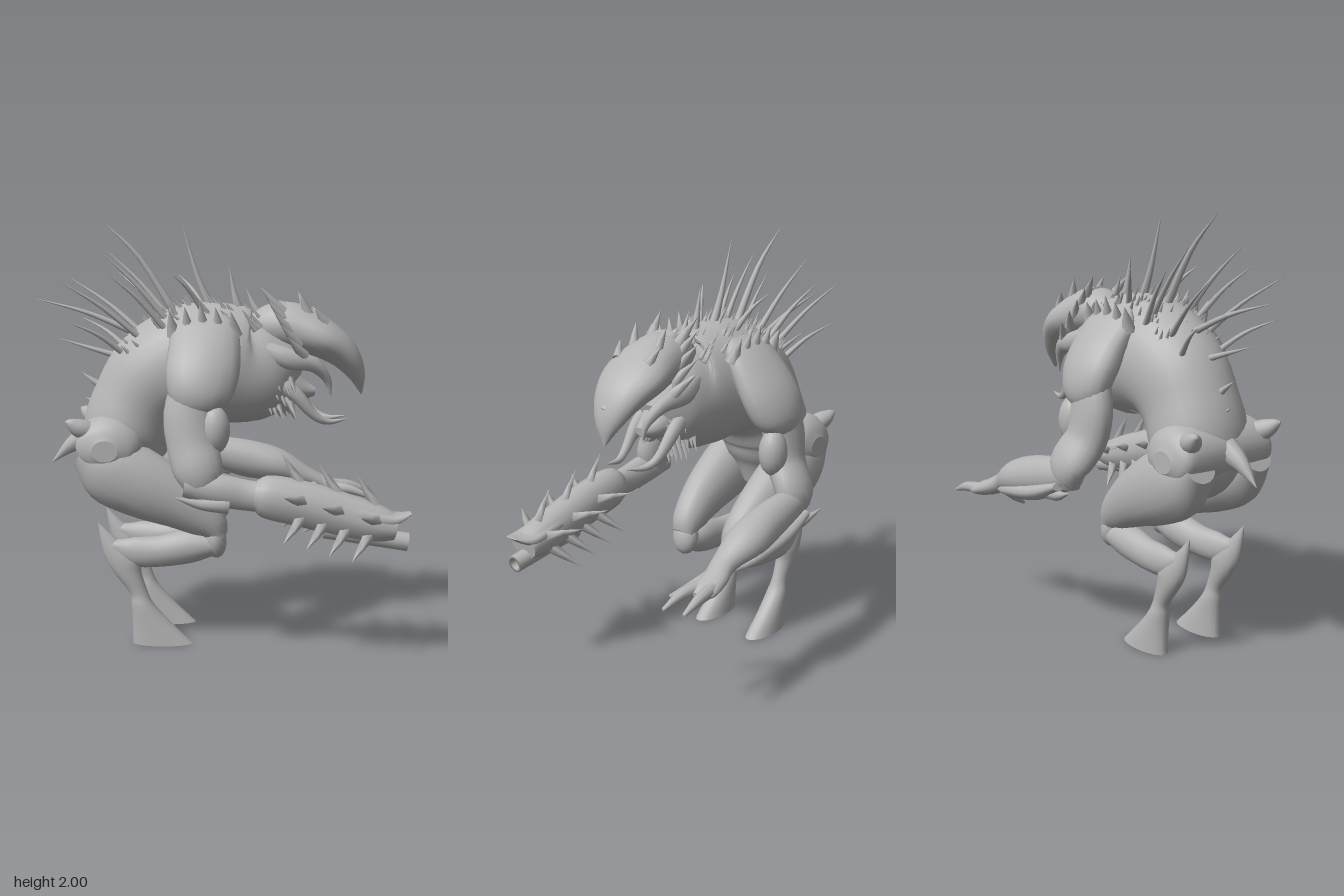
import * as THREE from 'three';

const Z0 = -0.03; // the body's plane of symmetry
const hide = new THREE.MeshStandardMaterial({ color: 0xb4b4b4 });
hide.name = 'grey hide';

// Smooth skin over elliptical sections [x, y, z, inPlaneRadius, sideRadius]; axis fixes the section plane
function loft(sections, { sides = 18, steps = 4, axis = null } = {}) {
  const path = new THREE.CatmullRomCurve3(sections.map(s => new THREE.Vector3(s[0], s[1], s[2])), false, 'catmullrom', 0.5);
  const size = new THREE.CatmullRomCurve3(sections.map(s => new THREE.Vector3(s[3], s[4], 0)), false, 'catmullrom', 0.5);
  const n = (sections.length - 1) * steps;
  const pos = [], idx = [], rings = [];
  const addRing = (c, N, B, r) => {
    const start = pos.length / 3;
    for (let j = 0; j < sides; j++) {
      const a = j / sides * Math.PI * 2;
      const p = c.clone().addScaledVector(N, Math.max(r.x, 0.001) * Math.cos(a)).addScaledVector(B, Math.max(r.y, 0.001) * Math.sin(a));
      pos.push(p.x, p.y, p.z);
    }
    return start;
  };
  for (let i = 0; i <= n; i++) {
    const t = i / n, c = path.getPoint(t), r = size.getPoint(t);
    const T = axis ? axis.clone() : path.getTangent(t);
    const ref = Math.abs(T.z) > 0.9 ? new THREE.Vector3(1, 0, 0) : new THREE.Vector3(0, 0, 1);
    const B = ref.addScaledVector(T, -ref.dot(T)).normalize();
    const N = new THREE.Vector3().crossVectors(B, T);
    rings.push(addRing(c, N, B, r));
    if (i === 0 || i === n) {
      const ring = addRing(c, N, B, r), mid = pos.length / 3;
      pos.push(c.x, c.y, c.z);
      for (let j = 0; j < sides; j++) {
        const a = ring + j, b = ring + (j + 1) % sides;
        if (i === 0) idx.push(mid, b, a); else idx.push(mid, a, b);
      }
    }
  }
  for (let i = 0; i < n; i++) for (let j = 0; j < sides; j++) {
    const k = (j + 1) % sides, a = rings[i] + j, b = rings[i] + k, c = rings[i + 1] + j, d = rings[i + 1] + k;
    idx.push(a, b, c, b, d, c);
  }
  const g = new THREE.BufferGeometry();
  g.setAttribute('position', new THREE.Float32BufferAttribute(pos, 3));
  g.setIndex(idx);
  g.computeVertexNormals();
  return g;
}

export function createModel() {
  const model = new THREE.Group();
  model.name = 'spinedBeast';
  const add = (name, geo) => {
    const m = new THREE.Mesh(geo, hide);
    m.name = name;
    model.add(m);
    return m;
  };
  // Sections measured from the symmetry plane on side s
  const side = (s, list) => list.map(([x, y, z, a, b]) => [x, y, Z0 + s * z, a, b]);
  // Tapered spike from base to tip, sagging by bend at its middle
  const spike = (name, b, t, r, bend = 0, sides = 6) => {
    const mid = b.map((v, i) => v * 0.5 + t[i] * 0.5);
    mid[1] -= bend;
    add(name, loft([[...b, r, r], [...mid, r * 0.6, r * 0.6], [...t, 0.001, 0.001]], { sides, steps: bend ? 4 : 1 }));
  };
  const blob = (name, [x, y, z], [rx, ry, rz], tilt = 0) => {
    const m = add(name, new THREE.SphereGeometry(1, 18, 12));
    m.scale.set(rx, ry, rz);
    m.position.set(x, y, z);
    m.rotation.z = tilt;
  };
  let seed = 7;
  const rnd = () => (seed = (seed * 16807) % 2147483647) / 2147483647;

  // Hunched trunk from pelvis to neck
  add('torso', loft(side(1, [
    [-0.38, 0.73, 0, 0.06, 0.06], [-0.43, 0.86, 0, 0.18, 0.17], [-0.44, 1.0, 0, 0.215, 0.23],
    [-0.38, 1.15, 0, 0.225, 0.225], [-0.28, 1.27, 0, 0.255, 0.24], [-0.12, 1.34, 0, 0.28, 0.25],
    [0.05, 1.33, 0, 0.285, 0.22], [0.17, 1.32, 0, 0.26, 0.19], [0.27, 1.36, 0, 0.2, 0.16], [0.36, 1.4, 0, 0.1, 0.1],
  ]), { sides: 28 }));
  // Broad pelvis from hip to hip
  add('pelvis', loft(side(1, [[-0.52, 0.95, -0.285, 0.05, 0.06], [-0.515, 0.96, -0.25, 0.11, 0.135], [-0.505, 0.97, -0.16, 0.14, 0.16],
    [-0.505, 0.97, 0.16, 0.14, 0.16], [-0.515, 0.96, 0.25, 0.11, 0.135], [-0.52, 0.95, 0.285, 0.05, 0.06]]),
  { sides: 24, axis: new THREE.Vector3(0, 0, 1) }));
  spike('tail', [-0.62, 0.99, Z0], [-0.81, 0.85, Z0], 0.06, -0.015, 10);

  // Skull with hooked beak
  add('beak', loft(side(1, [
    [0.17, 1.49, 0, 0.08, 0.08], [0.26, 1.51, 0, 0.11, 0.12], [0.36, 1.505, 0, 0.115, 0.14], [0.49, 1.455, 0, 0.095, 0.165],
    [0.59, 1.385, 0, 0.075, 0.13], [0.655, 1.29, 0, 0.045, 0.075], [0.682, 1.19, 0, 0.004, 0.006],
  ]), { sides: 20 }));
  add('browRidge', loft(side(1, [[0.28, 1.61, 0, 0.025, 0.07], [0.45, 1.56, 0, 0.025, 0.08],
    [0.58, 1.47, 0, 0.015, 0.04], [0.68, 1.35, 0, 0.012, 0.015]]), { sides: 10 }));
  add('lowerJaw', loft(side(1, [[0.2, 1.28, 0, 0.13, 0.12], [0.3, 1.24, 0, 0.11, 0.1],
    [0.39, 1.21, 0, 0.06, 0.07], [0.46, 1.2, 0, 0.02, 0.03]])));

  for (const s of [1, -1]) {
    // Cheeks, mandibles and tusks
    add('cheek', loft(side(s, [[0.2, 1.42, 0.12, 0.04, 0.03], [0.32, 1.37, 0.14, 0.05, 0.035],
      [0.44, 1.34, 0.12, 0.035, 0.03], [0.51, 1.27, 0.09, 0.02, 0.02], [0.53, 1.19, 0.08, 0.003, 0.003]]), { sides: 10 }));
    add('tusk', loft(side(s, [[0.25, 1.28, 0.1, 0.04, 0.03], [0.36, 1.2, 0.11, 0.035, 0.03],
      [0.45, 1.1, 0.1, 0.022, 0.02], [0.52, 1.065, 0.08, 0.015, 0.015], [0.61, 1.075, 0.06, 0.002, 0.002]]), { sides: 10 }));
    for (let i = 0; i < 5; i++) {
      spike('frillSpike', [0.3 + i * 0.025, 1.58 - i * 0.05, Z0 + s * (0.08 + i * 0.014)],
        [0.2 + i * 0.03, 1.69 - i * 0.055, Z0 + s * (0.11 + i * 0.025)], 0.028);
    }
    spike('browHorn', [0.42, 1.57, Z0 + s * 0.07], [0.38, 1.67, Z0 + s * 0.09], 0.025);
    spike('browHorn', [0.5, 1.53, Z0 + s * 0.09], [0.45, 1.6, Z0 + s * 0.12], 0.025);

    // Legs: thigh, knee, calf and hoofed foot
    add('thigh', loft(side(s, [[-0.64, 0.93, 0.17, 0.07, 0.08], [-0.52, 0.86, 0.17, 0.165, 0.12],
      [-0.36, 0.78, 0.175, 0.165, 0.12], [-0.18, 0.69, 0.17, 0.13, 0.1], [-0.05, 0.6, 0.16, 0.09, 0.08],
      [0.0, 0.53, 0.155, 0.05, 0.06]])));
    blob('knee', [-0.015, 0.51, Z0 + s * 0.155], [0.055, 0.09, 0.07], 0.15);
    add('calf', loft(side(s, [[0.0, 0.49, 0.155, 0.05, 0.06], [-0.13, 0.475, 0.155, 0.08, 0.07],
      [-0.28, 0.45, 0.16, 0.075, 0.06], [-0.41, 0.45, 0.165, 0.07, 0.045], [-0.5, 0.48, 0.165, 0.03, 0.03]])));
    const foot = [[0.59, -0.57, -0.566, 0.003], [0.5, -0.558, -0.47, 0.025], [0.42, -0.538, -0.37, 0.042],
      [0.35, -0.5, -0.365, 0.043], [0.25, -0.425, -0.335, 0.037], [0.19, -0.415, -0.305, 0.048],
      [0.1, -0.41, -0.225, 0.055], [0, -0.41, -0.12, 0.062]];
    add('hoofedFoot', loft(side(s, foot.map(([y, x0, x1, w]) => [(x0 + x1) / 2, y, 0.165, (x1 - x0) / 2, w])),
      { axis: new THREE.Vector3(0, -1, 0) }));
    add('hipHorn', loft(side(s, [[-0.57, 1.02, 0.19, 0.05, 0.05], [-0.64, 1.05, 0.22, 0.045, 0.045],
      [-0.68, 1.075, 0.24, 0.025, 0.025], [-0.7, 1.085, 0.25, 0.006, 0.006]]), { sides: 12 }));

    // Shoulder plate with a spiky upper rim
    add('shoulderPlate', loft(side(s, [[-0.06, 1.57, 0.16, 0.1, 0.02], [-0.06, 1.51, 0.195, 0.15, 0.06],
      [-0.06, 1.41, 0.265, 0.165, 0.085], [-0.07, 1.3, 0.33, 0.165, 0.095], [-0.09, 1.2, 0.37, 0.13, 0.08], [-0.1, 1.13, 0.385, 0.05, 0.03]])));
    for (let i = 0; i < 5; i++) {
      const x = -0.2 + i * 0.07;
      spike('shoulderSpike', [x, 1.48, Z0 + s * 0.21], [x - 0.02, 1.63 - 0.02 * Math.abs(i - 2), Z0 + s * 0.25], 0.034);
    }
    // Upper arm; the left one stays closer to the body
    const e = s > 0 ? 0.42 : 0.46;
    add('upperArm', loft(side(s, [[-0.08, 1.3, 0.34, 0.11, 0.07], [-0.12, 1.14, 0.36, 0.12, 0.08],
      [-0.11, 1.0, 0.385, 0.115, 0.08], [-0.08, 0.88, e, 0.11, 0.075], [-0.07, 0.78, e, 0.06, 0.05]])));
    blob('bicep', [-0.01, 1.07, Z0 + s * 0.385], [0.07, 0.11, 0.065]);
    spike('elbowSpur', [0.05, 0.74, Z0 + s * (e + 0.03)], [-0.19, 0.785, Z0 + s * (e + 0.08)], 0.04, 0.015, 8);
  }

  // Left forearm carrying the spiked sleeve
  add('leftForearm', loft([[-0.14, 0.83, 0.39, 0.06, 0.06], [0, 0.805, 0.4, 0.075, 0.06],
    [0.14, 0.78, 0.4, 0.07, 0.05], [0.26, 0.77, 0.4, 0.07, 0.07]]));
  add('armSleeve', loft([[0.17, 0.785, 0.4, 0.065, 0.06], [0.23, 0.775, 0.4, 0.1, 0.08], [0.4, 0.74, 0.4, 0.105, 0.085],
    [0.58, 0.69, 0.4, 0.1, 0.085], [0.72, 0.655, 0.4, 0.085, 0.085], [0.8, 0.64, 0.4, 0.06, 0.08]], { sides: 12 }));
  add('sleeveLip', loft([[0.62, 0.71, 0.4, 0.05, 0.08], [0.76, 0.68, 0.4, 0.035, 0.082], [0.82, 0.685, 0.4, 0.02, 0.07],
    [0.87, 0.705, 0.4, 0.004, 0.035]], { sides: 12 }));
  const bore = [[0.03, -0.19], [0.042, -0.19], [0.042, 0.19], [0.026, 0.19], [0.026, 0.05], [0.001, 0.05]];
  const barrel = add('barrel', new THREE.LatheGeometry(bore.map(p => new THREE.Vector2(...p)), 16));
  barrel.position.set(0.67, 0.6, 0.4);
  barrel.rotation.z = -Math.PI / 2 - 0.15;
  for (const deg of [90, 18, 162, -42, 222]) {
    const count = deg === -42 || deg === 222 ? 4 : 3, a = deg * Math.PI / 180;
    for (let i = 0; i < count; i++) {
      const x = 0.38 + i * (count === 3 ? 0.165 : 0.1), y = 0.75 - (x - 0.36) * 0.26;
      spike('sleeveSpike', [x, y + 0.08 * Math.sin(a), 0.4 + 0.07 * Math.cos(a)],
        [x - 0.085, y + 0.22 * Math.sin(a), 0.4 + 0.22 * Math.cos(a)], 0.028, 0, 4);
    }
  }

  // Right forearm with an open clawed hand
  add('rightForearm', loft([[-0.12, 0.84, -0.49, 0.06, 0.06], [0, 0.82, -0.5, 0.085, 0.07], [0.15, 0.79, -0.505, 0.095, 0.085],
    [0.3, 0.755, -0.51, 0.085, 0.095], [0.44, 0.7, -0.505, 0.05, 0.06], [0.53, 0.66, -0.525, 0.04, 0.06],
    [0.61, 0.635, -0.53, 0.03, 0.065], [0.65, 0.625, -0.53, 0.012, 0.045]]));
  add('bracer', loft([[-0.08, 0.79, -0.55, 0.02, 0.03], [0.1, 0.73, -0.545, 0.04, 0.06],
    [0.3, 0.7, -0.54, 0.035, 0.065], [0.44, 0.67, -0.52, 0.01, 0.03]], { sides: 12 }));
  for (const [root, knuckle, tip] of [
    [[0.58, 0.645, -0.555], [0.69, 0.635, -0.572], [0.79, 0.6, -0.575]],
    [[0.58, 0.64, -0.5], [0.68, 0.63, -0.475], [0.79, 0.59, -0.46]],
    [[0.47, 0.67, -0.49], [0.52, 0.6, -0.41], [0.58, 0.53, -0.31]]]) {
    add('finger', loft([[...root, 0.03, 0.03], [...knuckle, 0.024, 0.024], [...tip, 0.008, 0.008]], { sides: 8 }));
  }

  // Long quills: base, tip, sag
  for (const [bx, by, tx, ty, r, bend] of [[-0.2, 1.56, -0.545, 2.0, 0.02, -0.05], [-0.03, 1.58, -0.17, 1.98, 0.022, 0.035],
    [-0.36, 1.46, -0.87, 1.64, 0.018, -0.02], [-0.46, 1.36, -0.76, 1.45, 0.017, 0], [-0.56, 1.22, -0.66, 1.29, 0.02, 0],
    [-0.57, 1.12, -0.64, 1.17, 0.02, 0], [0.1, 1.57, 0.05, 1.79, 0.024, 0.02], [0.2, 1.55, 0.13, 1.69, 0.024, 0.01]]) {
    spike('backQuill', [bx, by, Z0], [tx, ty, Z0], r, bend, 8);
  }
  for (const s of [1, -1]) {
    for (const [bx, by, bz, tx, ty, tz] of [[-0.22, 1.52, 0.1, -0.54, 1.86, 0.16], [-0.34, 1.44, 0.1, -0.73, 1.73, 0.22],
      [-0.24, 1.5, 0.15, -0.5, 1.76, 0.25], [-0.42, 1.37, 0.1, -0.68, 1.54, 0.23], [-0.06, 1.57, 0.1, -0.2, 1.75, 0.2]]) {
      spike('sideQuill', [bx, by, Z0 + s * bz], [tx, ty, Z0 + s * tz], 0.016, -0.02, 8);
    }
    // Bristles over the back
    for (let i = 0; i < 40; i++) {
      const x = -0.4 + rnd() * 0.65, a = rnd() * 0.75;
      const top = 1.62 - Math.max(0, -x - 0.08) ** 1.5 * 0.9 - Math.max(0, x) * 0.28;
      const y = top - 0.25 * (1 - Math.cos(a)) - 0.02, z = 0.23 * Math.sin(a);
      spike('bristle', [x, y, Z0 + s * z], [x - 0.05, y + 0.04 + rnd() * 0.04, Z0 + s * (z + 0.03 * Math.sin(a))], 0.014, 0, 4);
    }
    // Beard under the jaw
    for (let i = 0; i < 24; i++) {
      const x = 0.22 + rnd() * 0.13, y = 1.13 + rnd() * 0.17, z = 0.03 + rnd() * 0.08;
      spike('beardSpike', [x, y, Z0 + s * z], [x + 0.03, y - 0.08, Z0 + s * (z + 0.05)], 0.018, 0, 4);
    }
  }
  return model;
}
